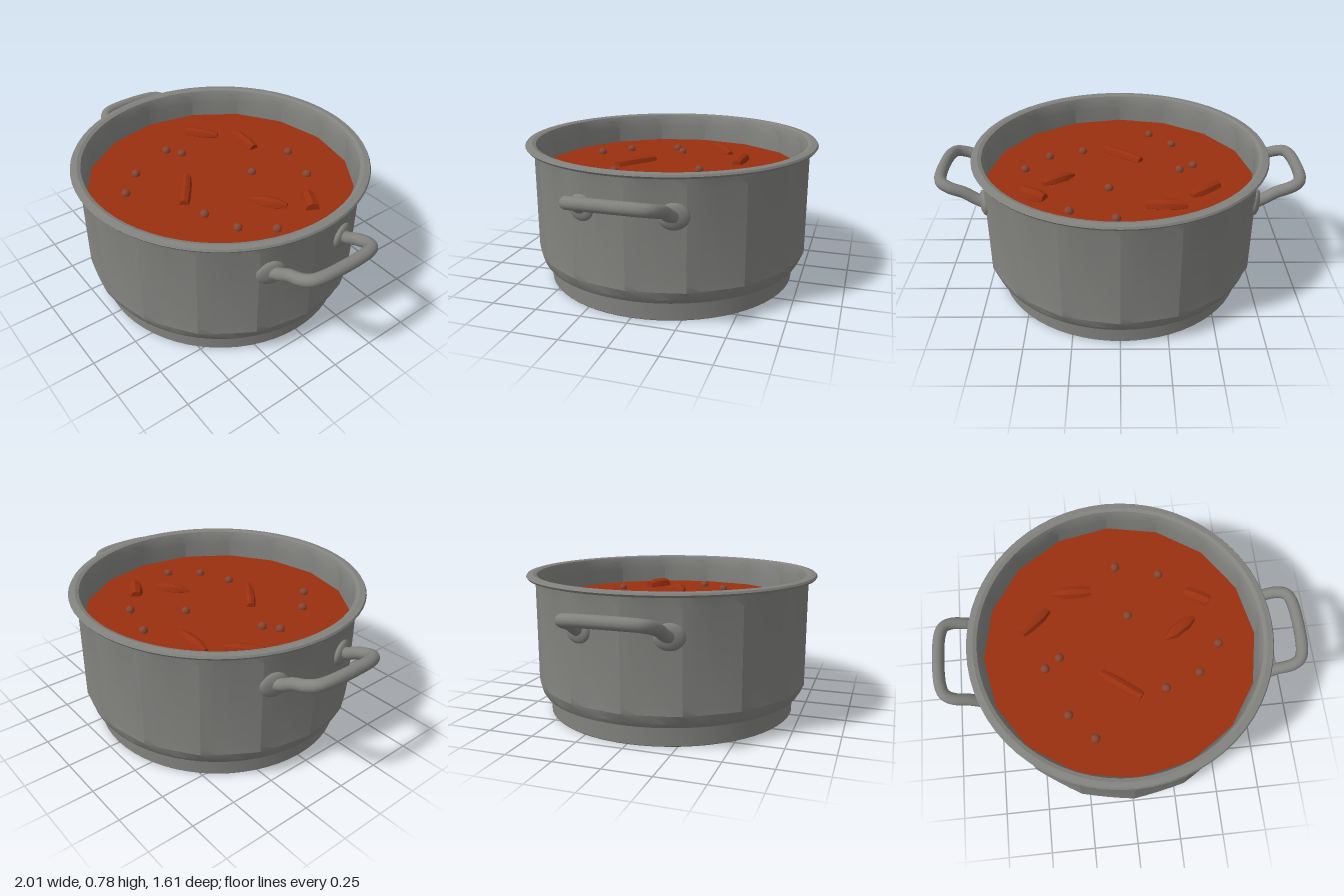
import * as THREE from 'three';
import { toCreasedNormals } from 'three/addons/utils/BufferGeometryUtils.js';

export function createModel() {
  const root = new THREE.Group();
  root.name = 'soupPot';

  const material = (name, color) => {
    const m = new THREE.MeshStandardMaterial({ color });
    m.name = name;
    return m;
  };
  const steel = material('steel grey', 0x82827f);
  steel.side = THREE.DoubleSide;
  const soupRed = material('soup red', 0x9a300f);
  const peaBrown = material('pea brown', 0x854632);

  const add = (parent, name, geometry, mat) => {
    const mesh = new THREE.Mesh(geometry, mat);
    mesh.name = name;
    parent.add(mesh);
    return mesh;
  };

  // Pot: [radius, height, facet], where facet blends from round (0) to 16-sided (1)
  const profile = [
    [0, 0.025, 0], [0.655, 0.025, 0], [0.66, 0, 0], [0.69, 0, 0], [0.695, 0.005, 0],
    [0.695, 0.1, 0], [0.73, 0.112, 0], [0.745, 0.135, 0.1], [0.765, 0.18, 0.7],
    [0.765, 0.22, 1], [0.765, 0.7, 1], [0.765, 0.756, 0.3],
    [0.798, 0.757, 0], [0.806, 0.768, 0], [0.8, 0.778, 0], [0.77, 0.782, 0],
    [0.75, 0.775, 0], [0.744, 0.755, 0.2], [0.742, 0.7, 1], [0.742, 0.55, 1],
  ];
  const pot = new THREE.LatheGeometry(profile.map(([r, y]) => new THREE.Vector2(r, y)), 64);
  const pos = pot.attributes.position;
  const side = Math.PI / 8;
  for (let i = 0; i < pos.count; i++) {
    const facet = profile[i % profile.length][2];
    const turn = Math.floor(i / profile.length) * Math.PI * 2 / 64;
    const local = (turn % side) - side / 2;
    const flat = Math.min(1, Math.cos(side / 2) / Math.cos(local));
    const k = 1 + (flat - 1) * facet;
    pos.setX(i, pos.getX(i) * k);
    pos.setZ(i, pos.getZ(i) * k);
  }
  add(root, 'potBody', toCreasedNormals(pot, 0.3), steel);

  // Handles: bent tube with a flattened mounting pad at each end
  const half = [
    [0.72, 0.568, 0.235], [0.77, 0.588, 0.225], [0.83, 0.622, 0.22],
    [0.9, 0.647, 0.217], [0.945, 0.662, 0.195], [0.967, 0.669, 0.14],
  ];
  const path = [...half, ...half.map(([x, y, z]) => [x, y, -z]).reverse()]
    .map((p) => new THREE.Vector3(...p));
  const handleTube = new THREE.TubeGeometry(new THREE.CatmullRomCurve3(path), 60, 0.032, 14);
  for (const s of [1, -1]) {
    const handle = new THREE.Group();
    handle.name = s > 0 ? 'leftHandle' : 'rightHandle';
    handle.rotation.y = s > 0 ? 0 : Math.PI;
    add(handle, 'handleBar', handleTube, steel);
    for (const t of [1, -1]) {
      const pad = add(handle, 'handlePad', new THREE.SphereGeometry(1, 24, 14), steel);
      pad.scale.set(0.026, 0.067, 0.077);
      pad.position.set(0.722, 0.568, t * 0.235);
      pad.rotation.y = -t * 0.31;
    }
    root.add(handle);
  }

  // Soup surface
  const level = 0.615;
  const soup = add(root, 'soup', new THREE.CircleGeometry(0.745, 16), soupRed);
  soup.rotation.x = -Math.PI / 2;
  soup.position.y = level;

  // Vegetable pieces: start x, z, end x, z, width, end scales
  const pieces = [
    [-0.35, -0.355, -0.13, -0.345, 0.075, 0.45, 0.7],
    [-0.53, -0.13, -0.375, -0.255, 0.07, 0.8, 0.5],
    [0.395, -0.285, 0.52, -0.215, 0.085, 0.7, 0.9],
    [0.255, -0.015, 0.42, -0.125, 0.07, 0.25, 0.5],
    [-0.12, 0.145, 0.085, 0.3, 0.065, 0.75, 0.85],
  ];
  for (const [x0, z0, x1, z1, width, a, b] of pieces) {
    const length = Math.hypot(x1 - x0, z1 - z0);
    const r = width / 2;
    const h = length / 2;
    const outline = [[0, -h], [r * a, -h], [r, -h * 0.45], [r, h * 0.45], [r * b, h], [0, h]]
      .map((p) => new THREE.Vector2(...p));
    const g = new THREE.LatheGeometry(outline, 8);
    g.rotateZ(-Math.PI / 2);
    const piece = add(root, 'vegetablePiece', toCreasedNormals(g, 0.6), soupRed);
    piece.position.set((x0 + x1) / 2, level + 0.002, (z0 + z1) / 2);
    piece.rotation.y = -Math.atan2(z1 - z0, x1 - x0);
  }

  // Peas
  const peas = [
    [0.02, -0.48], [0.26, -0.41], [0.06, -0.175], [0.535, 0.04], [0.41, 0.195],
    [0.22, 0.265], [-0.31, 0.36], [-0.18, 0.5], [-0.415, 0.09], [-0.335, 0.035],
  ];
  const peaShape = new THREE.SphereGeometry(0.025, 12, 8);
  for (const [x, z] of peas) {
    add(root, 'pea', peaShape, peaBrown).position.set(x, level + 0.006, z);
  }

  return root;
}
